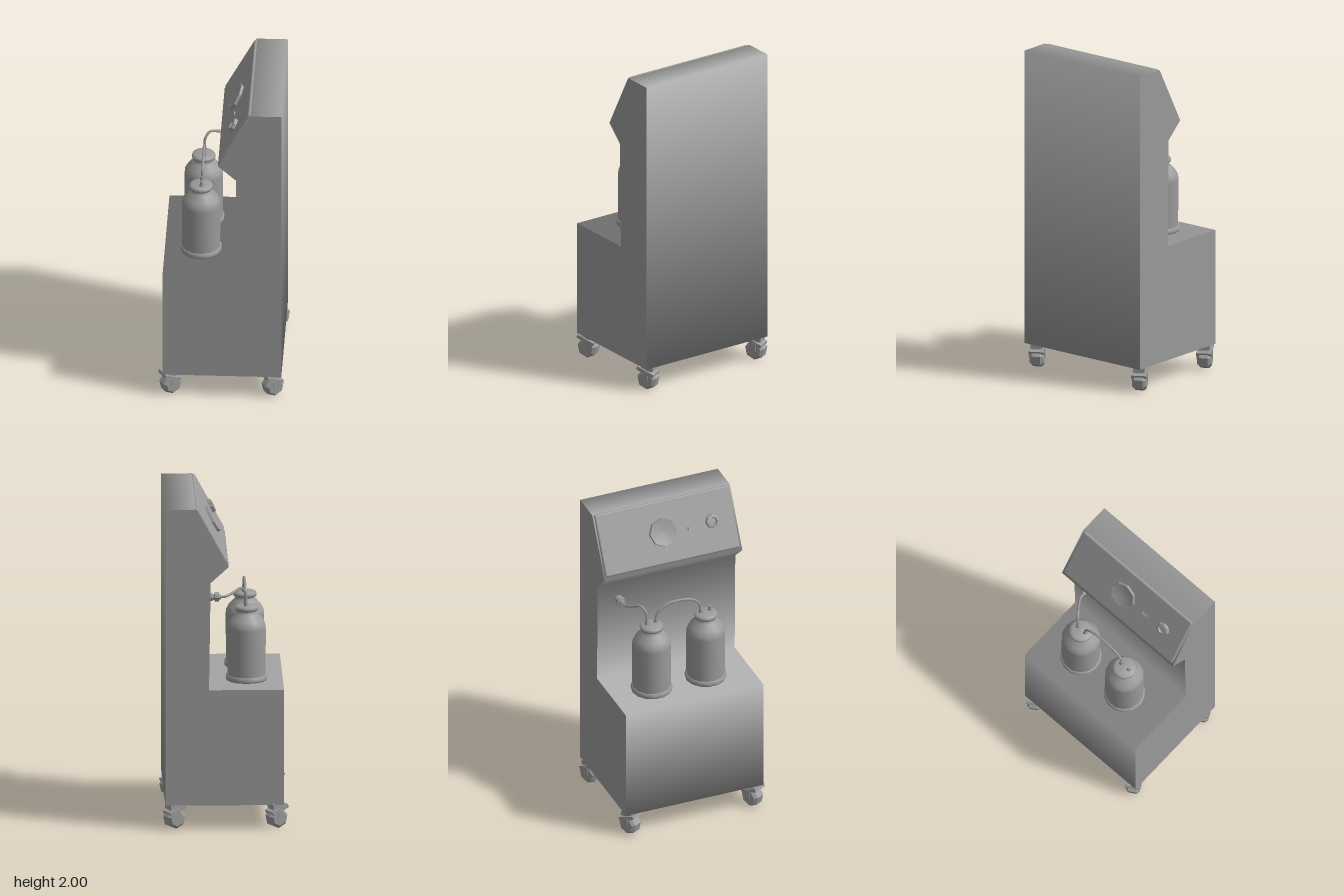
import * as THREE from 'three';
import { RoundedBoxGeometry } from 'three/addons/geometries/RoundedBoxGeometry.js';

const smooth = new THREE.MeshStandardMaterial({ color: 0x9b9b9b, side: THREE.DoubleSide });
const facet = new THREE.MeshStandardMaterial({ color: 0x9b9b9b, side: THREE.DoubleSide, flatShading: true });
const V = (x, y, z) => new THREE.Vector3(x, y, z);

function add(parent, name, geometry, material = facet, x = 0, y = 0, z = 0) {
  const m = new THREE.Mesh(geometry, material);
  m.name = name;
  m.position.set(x, y, z);
  parent.add(m);
  return m;
}

const lathe = (pts, sides) =>
  new THREE.LatheGeometry(pts.map(([r, y]) => new THREE.Vector2(r, y)), sides);

function hose(parent, name, pts) {
  const curve = new THREE.CatmullRomCurve3(pts.map(p => V(...p)));
  return add(parent, name, new THREE.TubeGeometry(curve, 24, 0.008, 6), smooth);
}

// Stepped cabinet with an overhanging head: flat sides, and a wrap shaded smoothly round its corners
function cabinet(parent) {
  const outline = [[-0.36, 0.15], [0.36, 0.15], [0.36, 2], [0.17, 2],
    [-0.025, 1.64], [0.085, 1.54], [0.095, 0.87], [-0.36, 0.87]].map(p => new THREE.Vector2(...p));
  const back = -0.445, front = 0.46, n = outline.length;
  const positions = [], normals = [], index = [];
  const edgeNormal = (p, q) => new THREE.Vector2(q.y - p.y, p.x - q.x).normalize();
  outline.forEach((p, i) => {
    const next = (i + 1) % n;
    const corner = edgeNormal(outline[(i + n - 1) % n], p).add(edgeNormal(p, outline[next])).normalize();
    for (const z of [back, front]) {
      positions.push(p.x, p.y, z);
      normals.push(corner.x, corner.y, 0);
    }
    const a = 2 * i, b = 2 * next;
    index.push(a, b, b + 1, a, b + 1, a + 1);
  });
  const wrap = new THREE.BufferGeometry();
  wrap.setAttribute('position', new THREE.Float32BufferAttribute(positions, 3));
  wrap.setAttribute('normal', new THREE.Float32BufferAttribute(normals, 3));
  wrap.setIndex(index);
  add(parent, 'cabinetWrap', wrap, smooth);
  const side = new THREE.ShapeGeometry(new THREE.Shape(outline));
  for (const z of [back, front]) add(parent, 'cabinetSide', side, facet, 0, 0, z);
}

// Controls in a frame whose y axis points out of the sloped face
function controls(parent) {
  const panel = new THREE.Group();
  panel.name = 'controlPanel';
  panel.position.set(0.0775, 1.83, 0);
  panel.rotation.z = Math.atan2(0.36, 0.195);
  parent.add(panel);
  add(panel, 'panelPlate', new RoundedBoxGeometry(0.39, 0.03, 0.885, 3, 0.012), smooth, 0, -0.005, 0.007);
  add(panel, 'gaugeRim', lathe([[0.09, 0], [0.087, 0.026]], 8), facet, 0, 0, -0.025);
  add(panel, 'gaugeDish', lathe([[0.087, 0.026], [0.05, 0.017], [0, 0.014]], 8), smooth, 0, 0, -0.025);
  add(panel, 'switchBase', new THREE.BoxGeometry(0.036, 0.014, 0.06), facet, -0.015, 0.004, 0.16);
  add(panel, 'switchRocker', new THREE.BoxGeometry(0.02, 0.01, 0.045), facet, -0.015, 0.012, 0.16)
    .rotation.x = 0.2;
  add(panel, 'knob', lathe([[0.045, 0], [0.042, 0.03], [0.027, 0.032], [0.024, 0.018], [0, 0.018]], 8),
    facet, 0, 0, 0.3);
}

// Collection jar: base ring, body with sloping shoulder, lid and hose fittings
function jar(parent, name, z) {
  const g = new THREE.Group();
  g.name = name;
  g.position.set(-0.14, 0.87, z);
  parent.add(g);
  add(g, 'baseRing', lathe([[0, 0.004], [0.124, 0.004], [0.127, 0.012], [0.126, 0.034], [0.115, 0.037]], 14), smooth);
  add(g, 'body', lathe([[0.117, 0.03], [0.118, 0.08], [0.119, 0.325], [0.116, 0.35], [0.1, 0.38],
    [0.068, 0.415], [0.059, 0.427], [0.059, 0.44]], 14), smooth);
  add(g, 'lidRim', lathe([[0.055, 0.43], [0.07, 0.438], [0.073, 0.45], [0.068, 0.463], [0.05, 0.466]], 14), smooth);
  add(g, 'lid', lathe([[0.06, 0.46], [0.056, 0.468], [0, 0.474]], 14), smooth);
  for (const s of [-1, 1])
    add(g, 'hoseFitting', new THREE.CylinderGeometry(0.011, 0.015, 0.035, 6), facet, 0.005, 0.484, s * 0.03);
}

// Swivel caster turned at an angle, with a sloping cover over a chunky wheel
function caster(parent, x, z) {
  const g = new THREE.Group();
  g.name = 'caster';
  g.position.set(x, 0, z);
  g.rotation.y = 0.52;
  parent.add(g);
  add(g, 'wheel', lathe([[0, -0.043], [0.046, -0.043], [0.064, -0.026],
    [0.064, 0.026], [0.046, 0.043], [0, 0.043]], 7), facet, 0, 0.064, 0).rotation.x = Math.PI / 2;
  add(g, 'forkCover', new THREE.BoxGeometry(0.115, 0.022, 0.092), facet, -0.004, 0.117, 0).rotation.z = -0.38;
  for (const s of [-1, 1])
    add(g, 'forkArm', new THREE.BoxGeometry(0.03, 0.05, 0.008), facet, 0, 0.09, s * 0.044);
  add(g, 'mountPlate', new THREE.BoxGeometry(0.075, 0.03, 0.07), facet, 0.005, 0.137, 0);
}

export function createModel() {
  const model = new THREE.Group();
  model.name = 'suctionCart';
  cabinet(model);
  controls(model);
  jar(model, 'rearJar', -0.185);
  jar(model, 'frontJar', 0.17);

  // Hose to the wall outlet and the link between both jars
  hose(model, 'outletHose', [[-0.135, 1.34, -0.215], [-0.132, 1.42, -0.218], [-0.105, 1.457, -0.24],
    [-0.06, 1.44, -0.275], [-0.01, 1.422, -0.305], [0.03, 1.42, -0.31]]);
  hose(model, 'linkHose', [[-0.135, 1.34, -0.155], [-0.135, 1.4, -0.145], [-0.133, 1.45, -0.08],
    [-0.132, 1.458, 0], [-0.132, 1.44, 0.09], [-0.133, 1.4, 0.133], [-0.135, 1.34, 0.14]]);

  // Stepped wall connector
  const plug = add(model, 'wallConnector', lathe([[0, 0], [0.015, 0], [0.018, 0.012], [0.03, 0.014], [0.03, 0.038],
    [0.018, 0.042], [0.018, 0.05], [0.025, 0.052], [0.025, 0.075]], 8), facet, 0.018, 1.42, -0.31);
  plug.rotation.z = -Math.PI / 2;

  for (const x of [-0.315, 0.305])
    for (const z of [-0.4, 0.405]) caster(model, x, z);
  return model;
}
